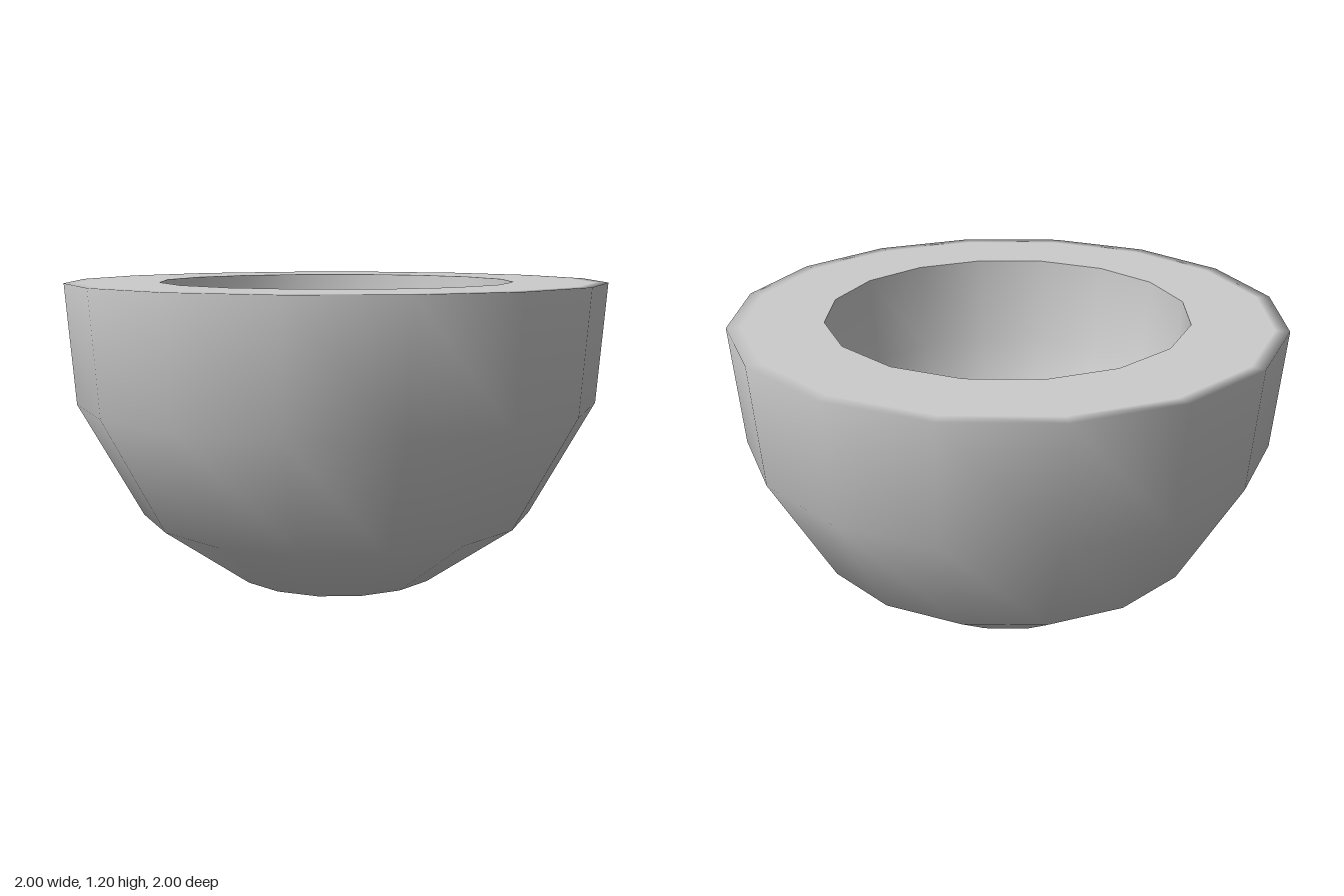
import * as THREE from 'three';
import { mergeVertices } from 'three/addons/utils/BufferGeometryUtils.js';

const SIDES = 16;

// Revolve a [radius, height] profile with smooth, area-weighted normals
function revolve(name, profile, material) {
  const points = profile.map(([r, y]) => new THREE.Vector2(r, y));
  const lathe = new THREE.LatheGeometry(points, SIDES);
  lathe.deleteAttribute('uv');
  lathe.deleteAttribute('normal');
  const geometry = mergeVertices(lathe, 1e-4);
  geometry.computeVertexNormals();
  const mesh = new THREE.Mesh(geometry, material);
  mesh.name = name;
  return mesh;
}

export function createModel() {
  const bowl = new THREE.Group();
  bowl.name = 'bowl';
  const material = new THREE.MeshStandardMaterial({ color: 0xcccccc });

  // Outer wall, turning over softly into a narrow edge of the rim
  bowl.add(revolve('outerWall', [
    [0, 0], [0.4, 0.09], [0.74, 0.335], [0.97, 0.76], [1, 1.2], [0.95, 1.2],
  ], material));

  // Flat, thick rim
  bowl.add(revolve('rim', [[0.95, 1.2], [0.66, 1.2]], material));

  // Hollow, meeting the rim at a sharp edge
  bowl.add(revolve('hollow', [
    [0.66, 1.2], [0.64, 0.87], [0.5, 0.58], [0.265, 0.41], [0, 0.35],
  ], material));

  return bowl;
}
